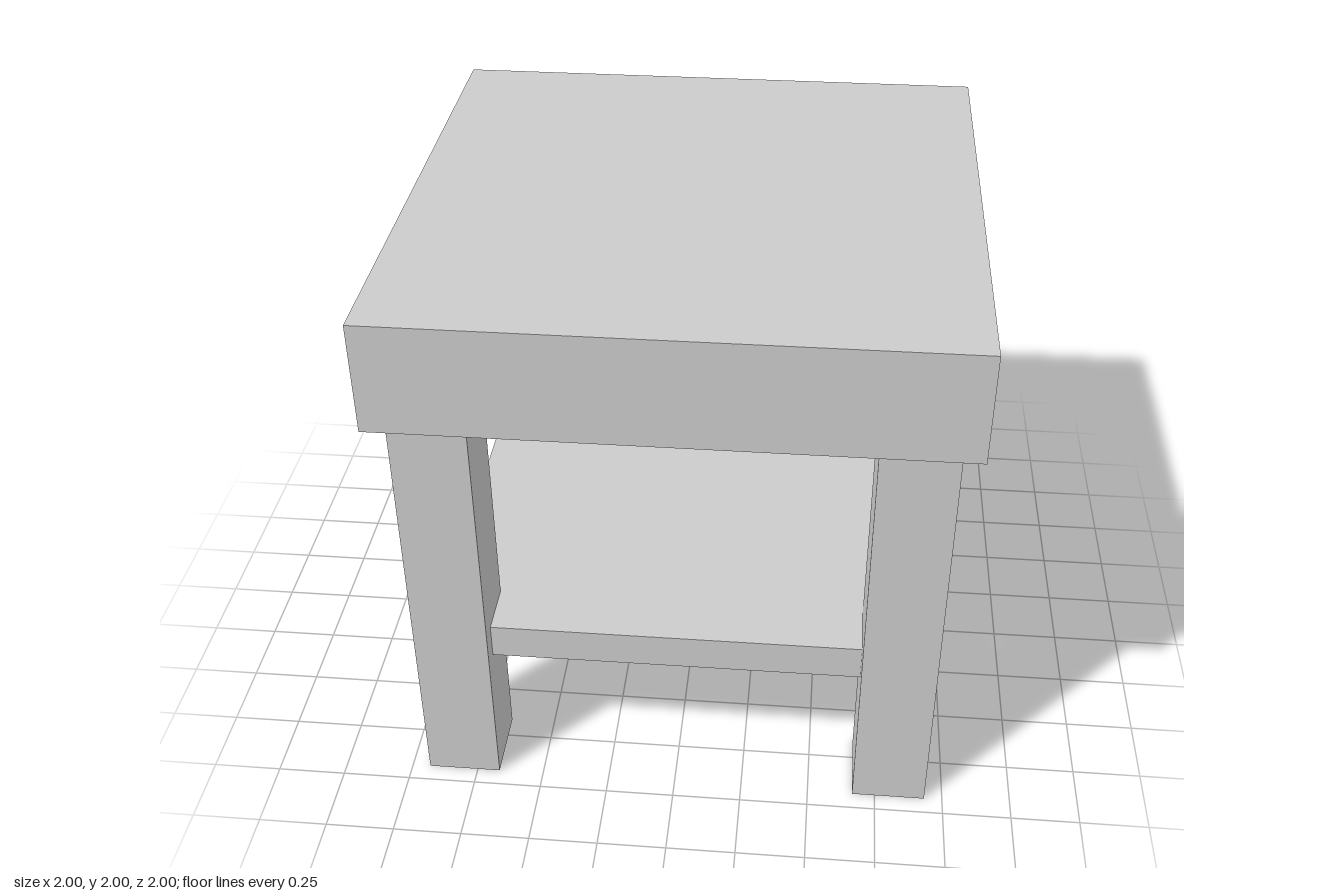
import * as THREE from 'three';

export function createModel() {
  const group = new THREE.Group();
  const material = new THREE.MeshStandardMaterial({ color: 0xcccccc, flatShading: true });

  // Box placed by its bottom height
  function addBox(name, width, height, depth, x, bottom, z) {
    const mesh = new THREE.Mesh(new THREE.BoxGeometry(width, height, depth), material);
    mesh.name = name;
    mesh.position.set(x, bottom + height / 2, z);
    group.add(mesh);
  }

  // Thick square top
  addBox('tableTop', 2, 0.4, 2, 0, 1.6, 0);

  // Lower shelf, its corners set into the legs
  addBox('shelf', 1.733, 0.133, 1.733, 0, 0.533, 0);

  // Four square legs
  for (const [sx, side] of [[1, 'Left'], [-1, 'Right']]) {
    for (const [sz, end] of [[1, 'front'], [-1, 'back']]) {
      addBox(`${end}${side}Leg`, 0.267, 1.6, 0.267, sx * 0.8, 0, sz * 0.8);
    }
  }

  return group;
}
